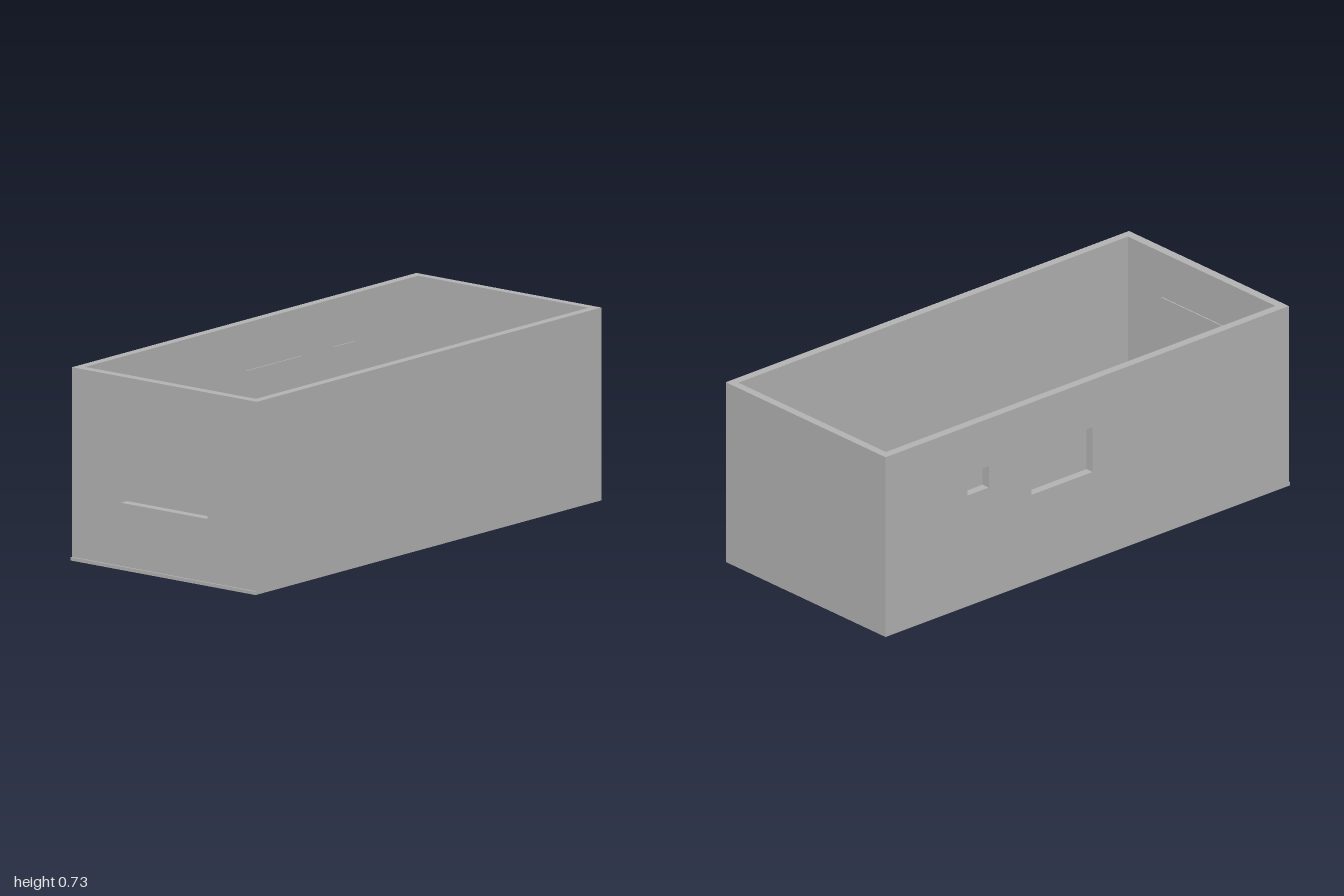
import * as THREE from 'three';

const HEIGHT = 0.73;
const PANE = 0.005; // thickness of the panes standing proud of the inner faces
const LAP = 0.012;  // overlap of a pane around its opening

const wallGrey = new THREE.MeshStandardMaterial({ color: 0xb2b2b2 });
wallGrey.name = 'wall grey';

// Upright wall: inner face on local z = 0, thickness outward along +z.
// Each window is [u0, u1, y0, y1], closed by a pane on the inner face.
function makeWall(name, u0, u1, thickness, windows = []) {
  const wall = new THREE.Group();
  wall.name = name;

  const shape = new THREE.Shape();
  shape.moveTo(u0, 0).lineTo(u1, 0).lineTo(u1, HEIGHT).lineTo(u0, HEIGHT).closePath();
  for (const [a, b, c, d] of windows) {
    const hole = new THREE.Path();
    hole.moveTo(a, c).lineTo(a, d).lineTo(b, d).lineTo(b, c).closePath();
    shape.holes.push(hole);

    const pane = new THREE.Mesh(
      new THREE.BoxGeometry(b - a + 2 * LAP, d - c + 2 * LAP, PANE), wallGrey);
    pane.name = 'windowPane';
    pane.position.set((a + b) / 2, (c + d) / 2, -PANE / 2);
    wall.add(pane);
  }

  const panel = new THREE.Mesh(
    new THREE.ExtrudeGeometry(shape, { depth: thickness, bevelEnabled: false }), wallGrey);
  panel.name = name + 'Panel';
  wall.add(panel);
  return wall;
}

export function createModel() {
  const model = new THREE.Group();
  model.name = 'openBuildingShell';

  const outerX = 0.442, innerX = 0.408;
  const frontOuter = 0.993, frontInner = 0.957, backInner = -0.968;

  // Front wall with its wide window
  const front = makeWall('frontWall', -outerX, outerX, frontOuter - frontInner,
    [[-0.208, 0.207, 0.252, 0.538]]);
  front.position.z = frontInner;

  // Plain back wall
  const back = makeWall('backWall', -outerX, outerX, 1 + backInner);
  back.rotation.y = Math.PI;
  back.position.z = backInner;

  // Plain wall on +x
  const left = makeWall('leftWall', -frontInner, -backInner, outerX - innerX);
  left.rotation.y = Math.PI / 2;
  left.position.x = innerX;

  // Wall on -x with a large and a small window
  const right = makeWall('rightWall', backInner, frontInner, outerX - innerX, [
    [-0.28, 0.023, 0.355, 0.537],
    [-0.594, -0.49, 0.45, 0.537],
  ]);
  right.rotation.y = -Math.PI / 2;
  right.position.x = -innerX;

  // Low sill along the foot of the front
  const sill = new THREE.Mesh(
    new THREE.BoxGeometry(2 * outerX, 0.013, 1 - frontOuter), wallGrey);
  sill.name = 'frontSill';
  sill.position.set(0, 0.0065, (1 + frontOuter) / 2);

  model.add(front, back, left, right, sill);
  return model;
}
